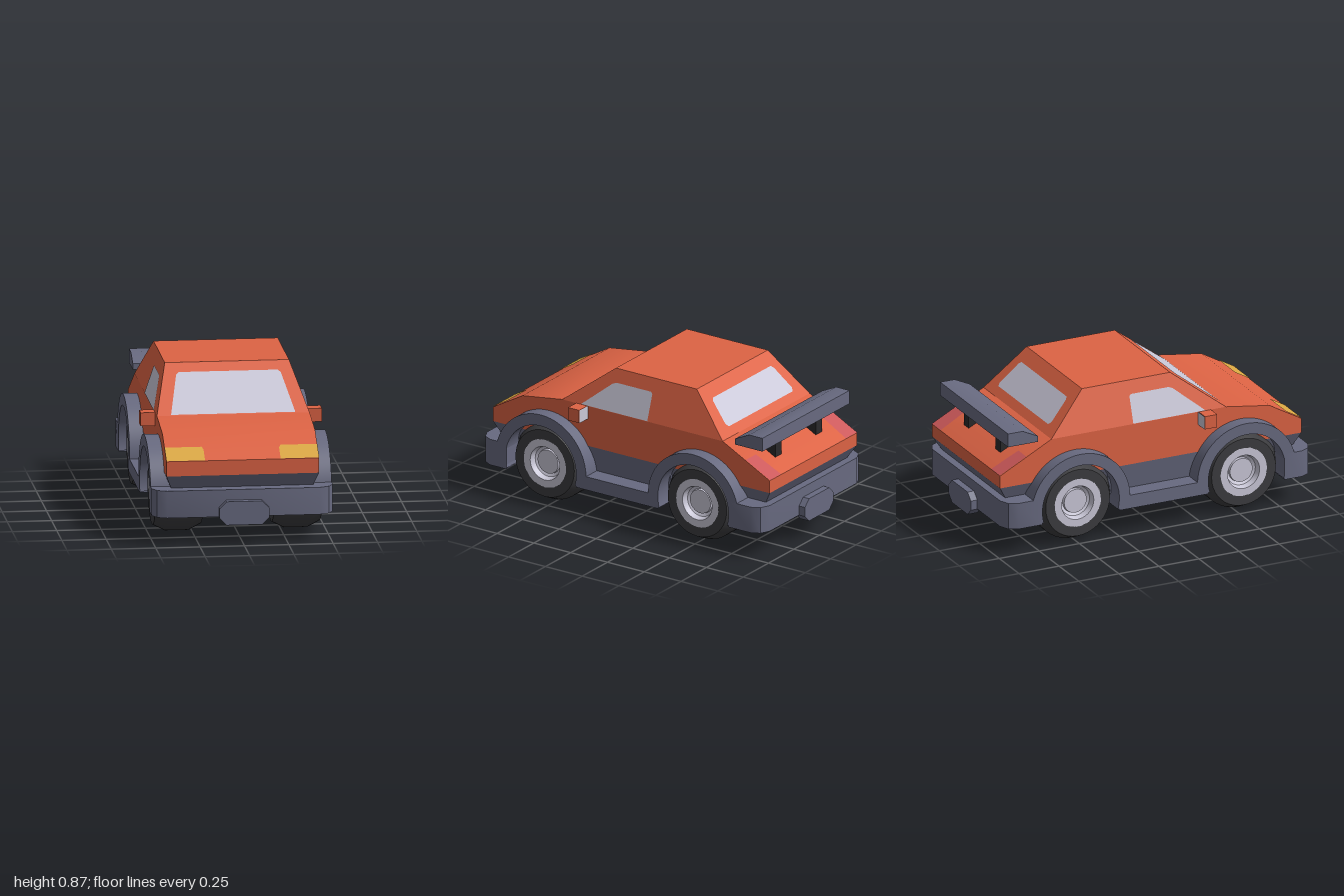
import * as THREE from 'three';
import { toCreasedNormals } from 'three/addons/utils/BufferGeometryUtils.js';

function material(name, color) {
  const m = new THREE.MeshStandardMaterial({ color });
  m.name = name;
  return m;
}

export function createModel() {
  const car = new THREE.Group();
  car.name = 'car';
  const orange = material('orange paint', 0xdd6344);
  const slate = material('slate trim', 0x686a80);
  const silver = material('silver glass', 0xcac8d8);
  const black = material('black chassis', 0x2a2a2c);
  const rubber = material('tyre rubber', 0x3c3c3f);
  const yellow = material('headlight yellow', 0xdba843);
  const red = material('tail light red', 0xcc585a);

  function add(name, geometry, mat, parent = car) {
    const mesh = new THREE.Mesh(geometry, mat);
    mesh.name = name;
    parent.add(mesh);
    return mesh;
  }

  // Box given by its two extreme corners
  function box(name, mat, x0, x1, y0, y1, z0, z1) {
    const g = new THREE.BoxGeometry(x1 - x0, y1 - y0, z1 - z0);
    g.translate((x0 + x1) / 2, (y0 + y1) / 2, (z0 + z1) / 2);
    return add(name, g, mat);
  }

  const outline = pts => new THREE.Shape(pts.map(p => new THREE.Vector2(...p)));

  // Side outline in (z, y), extruded across x
  function sideExtrude(shape, x0, x1) {
    const g = new THREE.ExtrudeGeometry(shape, { depth: x1 - x0, bevelEnabled: false, curveSegments: 32 });
    g.translate(0, 0, -x1);
    g.rotateY(-Math.PI / 2);
    return toCreasedNormals(g, 0.5);
  }

  // Flat-faced solid between two four-cornered rings (each counter-clockwise from above)
  function frustum(bottom, top) {
    const p = [];
    const quad = (a, b, c, d) => p.push(...a, ...b, ...c, ...a, ...c, ...d);
    for (let i = 0; i < 4; i++) {
      const j = (i + 1) % 4;
      quad(bottom[i], bottom[j], top[j], top[i]);
    }
    quad(...top);
    quad(...[...bottom].reverse());
    const g = new THREE.BufferGeometry();
    g.setAttribute('position', new THREE.Float32BufferAttribute(p, 3));
    g.computeVertexNormals();
    return g;
  }
  const ring = (w, y, front, back) => [[-w, y, front], [w, y, front], [w, y, back], [-w, y, back]];

  // Thin painted face lying just outside a surface; "out" picks its visible side
  function panel(name, mat, points, out) {
    const v = points.map(p => new THREE.Vector3(...p));
    const n = v[1].clone().sub(v[0]).cross(v[2].clone().sub(v[0])).normalize();
    if (n.dot(new THREE.Vector3(...out)) < 0) {
      v.reverse();
      n.negate();
    }
    v.forEach(q => q.addScaledVector(n, 0.004));
    const p = [];
    for (let i = 1; i < v.length - 1; i++) {
      for (const q of [v[0], v[i], v[i + 1]]) p.push(q.x, q.y, q.z);
    }
    const g = new THREE.BufferGeometry();
    g.setAttribute('position', new THREE.Float32BufferAttribute(p, 3));
    g.computeVertexNormals();
    return add(name, g, mat);
  }

  // Painted body and cabin
  add('body', sideExtrude(outline([[0.92, 0.39], [0.92, 0.475], [0.72, 0.59], [0.45, 0.63],
    [-0.64, 0.63], [-0.96, 0.465], [-0.96, 0.39]]), -0.43, 0.43), orange);
  add('cabin', frustum(ring(0.43, 0.63, 0.45, -0.64), ring(0.35, 0.865, 0.14, -0.41)), orange);

  // Lower body, tapering down to the bumpers
  add('lowerBody', frustum(ring(0.395, 0.3, 0.875, -0.905), ring(0.43, 0.39, 0.92, -0.96)), slate);
  add('doorSill', frustum(ring(0.4, 0.22, 0.32, -0.28), ring(0.43, 0.39, 0.32, -0.28)), slate);

  // Windows, laid on the sloping cabin faces
  const rise = y => (y - 0.63) / 0.235;
  const screen = (x, y) => [x, y, 0.45 - 0.31 * rise(y)];
  const rear = (x, y) => [x, y, -0.64 + 0.23 * rise(y)];
  const mirrorPair = (f, pts) => [...pts.map(p => f(...p)), ...[...pts].reverse().map(p => f(-p[0], p[1]))];
  panel('windscreen', silver, mirrorPair(screen, [[0.35, 0.632], [0.295, 0.808], [0.28, 0.82]]), [0, 1, 1]);
  panel('rearWindow', silver, mirrorPair(rear, [[0.315, 0.67], [0.328, 0.685], [0.3, 0.79], [0.285, 0.803]]), [0, 1, -1]);
  for (const s of [-1, 1]) {
    const side = (z, y) => [s * (0.43 - 0.08 * rise(y)), y, z];
    panel('sideWindow', silver, [side(0.32, 0.632), side(0.14, 0.78), side(0.115, 0.79),
      side(-0.12, 0.79), side(-0.13, 0.78), side(-0.13, 0.632)], [s, 0, 0]);
  }

  // Bumpers with rounded corners
  for (const [name, s, inner] of [['frontBumper', 1, 0.775], ['rearBumper', -1, 0.735]]) {
    const half = [[0.51, inner], [0.51, 0.885], [0.485, 0.935], [0.43, 0.96]];
    const pts = [...half, ...half.map(([x, z]) => [-x, z]).reverse()];
    const g = new THREE.ExtrudeGeometry(outline(pts), { depth: 0.155, bevelEnabled: false });
    g.rotateX(Math.PI / 2);
    g.translate(0, 0.315, 0);
    if (s < 0) g.rotateY(Math.PI);
    add(name, toCreasedNormals(g, 0.6), slate);

    // Eight-sided plate
    const plate = outline([[-0.1, 0.12], [0.1, 0.12], [0.14, 0.16], [0.14, 0.215],
      [0.1, 0.255], [-0.1, 0.255], [-0.14, 0.215], [-0.14, 0.16]]);
    const pg = new THREE.ExtrudeGeometry(plate, { depth: 0.06, bevelEnabled: false });
    pg.translate(0, 0, 0.94);
    if (s < 0) pg.rotateY(Math.PI);
    add('bumperPlate', pg, slate);
  }

  // Floor, sills and chassis
  box('floorAndSills', slate, -0.51, 0.51, 0.16, 0.24, -0.255, 0.3);
  box('wheelWells', black, -0.39, 0.39, 0.2, 0.31, -0.8, 0.83);
  box('chassisSpine', black, -0.13, 0.13, 0.155, 0.22, -0.5, 0.54);

  // Wheel profiles: radius, then distance outward from the wheel centre
  const lathe = pts => {
    const g = new THREE.LatheGeometry(pts.map(p => new THREE.Vector2(...p)), 40);
    g.rotateZ(-Math.PI / 2);
    return toCreasedNormals(g, 0.5);
  };
  const tyre = lathe([[0, -0.135], [0.2, -0.135], [0.235, -0.065], [0.235, 0.065], [0.2, 0.135], [0.143, 0.135]]);
  const rim = lathe([[0.145, 0.135], [0.1, 0.135], [0.09, 0.1], [0.073, 0.09], [0.07, 0.105], [0, 0.105]]);

  for (const [end, z] of [['front', 0.54], ['rear', -0.495]]) {
    // Arch ring around the wheel opening
    const arch = new THREE.Shape();
    arch.absarc(z, 0.235, 0.307, -0.22, Math.PI + 0.22, false);
    arch.absarc(z, 0.235, 0.24, Math.PI + 0.28, -0.28, true);
    for (const s of [-1, 1]) {
      add(end + 'Arch', sideExtrude(arch, s > 0 ? 0.38 : -0.51, s > 0 ? 0.51 : -0.38), slate);
      const wheel = new THREE.Group();
      wheel.name = end + 'Wheel';
      add('tyre', tyre, rubber, wheel);
      add('rim', rim, silver, wheel);
      wheel.position.set(s * 0.335, 0.235, z);
      if (s < 0) wheel.rotation.y = Math.PI;
      car.add(wheel);
    }
  }

  // Spoiler blade
  add('spoiler', sideExtrude(outline([[-0.725, 0.63], [-0.725, 0.665], [-0.82, 0.71],
    [-0.91, 0.71], [-0.91, 0.63]]), -0.43, 0.43), slate);

  for (const s of [-1, 1]) {
    const x = s * 0.2;
    box('spoilerStrut', black, x - 0.03, x + 0.03, 0.49, 0.64, -0.86, -0.77);

    // Door mirror with a silver glass facing back
    const m = s * 0.465;
    box('doorMirror', orange, m - 0.045, m + 0.045, 0.553, 0.63, 0.28, 0.355);
    panel('mirrorGlass', silver, [[m - 0.045, 0.553, 0.28], [m + 0.045, 0.553, 0.28],
      [m + 0.045, 0.63, 0.28], [m - 0.045, 0.63, 0.28]], [0, 0, -1]);

    // Lights on the sloping nose and tail
    const nose = (px, y) => [s * px, y, 0.92 - 0.2 * (y - 0.475) / 0.115];
    const tail = (px, y) => [s * px, y, -0.96 + 0.32 * (y - 0.465) / 0.165];
    panel('headlight', yellow, [nose(0.43, 0.475), nose(0.43, 0.531), nose(0.222, 0.531),
      nose(0.213, 0.52), nose(0.213, 0.475)], [0, 1, 0]);
    panel('tailLight', red, [tail(0.43, 0.465), tail(0.43, 0.55), tail(0.33, 0.55), tail(0.32, 0.465)], [0, 1, 0]);
  }
  return car;
}
